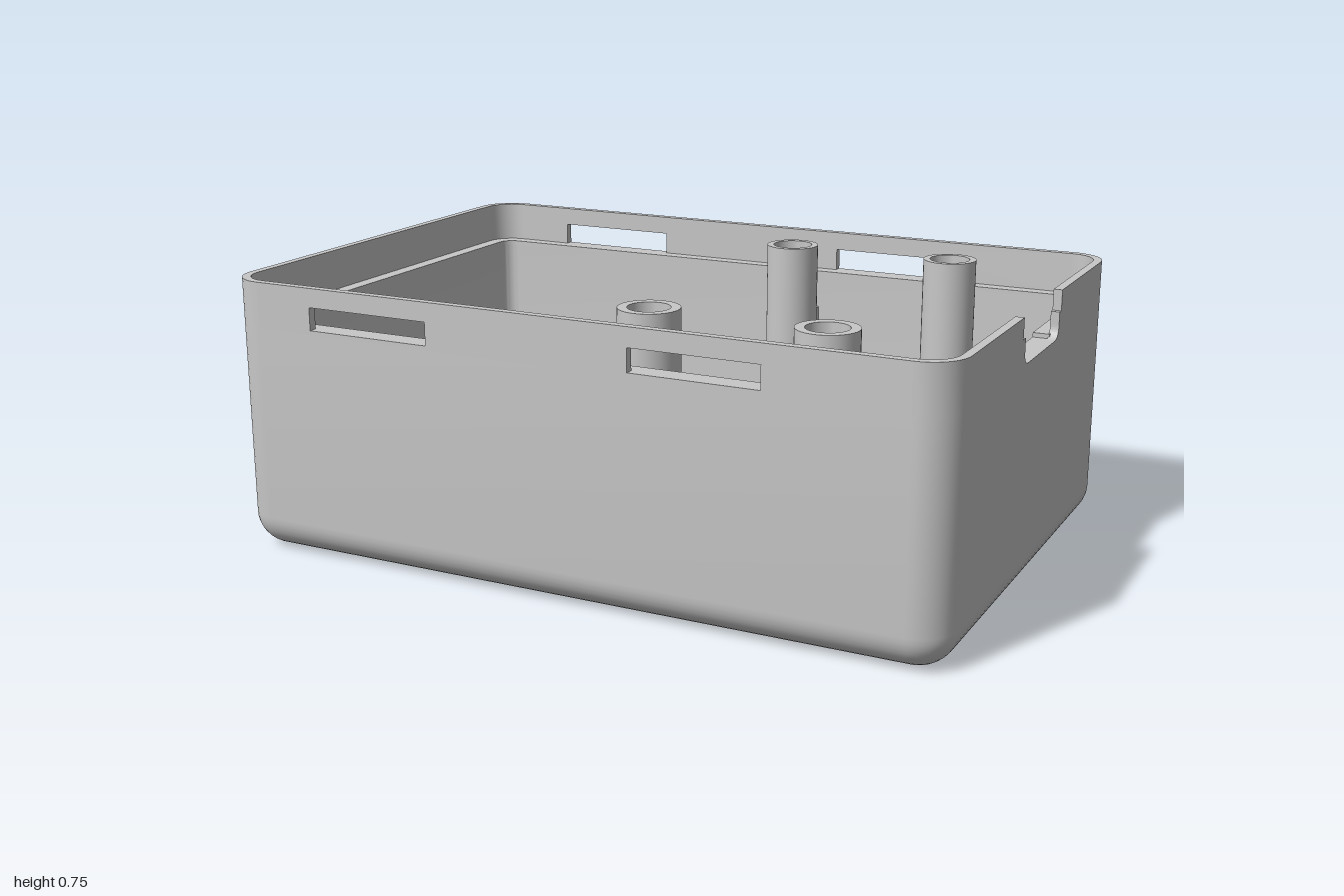
import * as THREE from 'three';
import { toCreasedNormals } from 'three/addons/utils/BufferGeometryUtils.js';

const W = 1, D = 0.672, H = 0.745;       // half width, half depth, height
const CORNER = 0.1, WALL = 0.063, LIP = 0.023;
const BASE = 0.621, LEDGE = 0.633;       // notch sill and ledge heights
const FLOOR = 0.06;

// Rounded rectangle in the xz plane, as a loop of points that starts and ends on the +x side
function ring(inset, y, r) {
  const pts = [], n = 10, w = W - inset, d = D - inset;
  [[1, 1], [-1, 1], [-1, -1], [1, -1]].forEach(([sx, sz], q) => {
    for (let i = 0; i <= n; i++) {
      const a = (q + i / n) * Math.PI / 2;
      pts.push([sx * (w - r) + r * Math.cos(a), y, sz * (d - r) + r * Math.sin(a)]);
    }
  });
  return pts;
}

function loft(rings) {
  const n = rings[0].length, index = [];
  for (let i = 0; i < rings.length - 1; i++) {
    for (let j = 0; j < n; j++) {
      const a = i * n + j, b = i * n + (j + 1) % n;
      index.push(a, a + n, b, b, a + n, b + n);
    }
  }
  const g = new THREE.BufferGeometry();
  g.setAttribute('position', new THREE.Float32BufferAttribute(rings.flat(2), 3));
  g.setIndex(index);
  return toCreasedNormals(g, 0.6);
}

// Body shell: bottom, rounded edge, outer wall, wall top, inner wall, floor
function bodyGeometry() {
  const rings = [], edge = 0.095, fillet = 0.035, n = 10;
  const centre = y => ring(0, y, 0.01).map(() => [0, y, 0]);
  rings.push(centre(0));
  for (let i = 0; i <= n; i++) {
    const t = i / n * Math.PI / 2, inset = edge * (1 - Math.sin(t));
    rings.push(ring(inset, edge * (1 - Math.cos(t)), CORNER - inset));
  }
  rings.push(ring(0, BASE, CORNER), ring(WALL, BASE, 0.04));
  for (let i = 0; i <= n; i++) {
    const t = i / n * Math.PI / 2, inset = fillet * (1 - Math.cos(t));
    rings.push(ring(WALL + inset, FLOOR + fillet * (1 - Math.sin(t)), 0.04 - inset));
  }
  rings.push(centre(FLOOR));
  return loft(rings);
}

function rect(path, x0, x1, y0, y1) {
  return path.moveTo(x0, y0).lineTo(x1, y0).lineTo(x1, y1).lineTo(x0, y1).closePath();
}

const extrude = (shape, depth, curveSegments = 10) =>
  new THREE.ExtrudeGeometry(shape, { depth, bevelEnabled: false, curveSegments });

// Inner ledge, a ring left open at the notch
function ledgeGeometry() {
  const inset = LIP - 0.004, z0 = -0.145, z1 = 0.13;
  const loop = [
    [W - inset, 0, z1], ...ring(inset, 0, CORNER - inset), [W - inset, 0, z0],
    [W - WALL, 0, z0], ...ring(WALL, 0, 0.04).reverse(), [W - WALL, 0, z1],
  ];
  const s = new THREE.Shape(loop.map(([x, , z]) => new THREE.Vector2(x, z)));
  return extrude(s, LEDGE - BASE).rotateX(Math.PI / 2);
}

// Long lip wall with two slots
function slottedWall() {
  const s = rect(new THREE.Shape(), -W + CORNER, W - CORNER, BASE, H);
  for (const [a, b] of [[-0.733, -0.377], [0.193, 0.538]]) {
    s.holes.push(rect(new THREE.Path(), a, b, LEDGE, 0.694));
  }
  return extrude(s, LIP);
}

// Plain short lip wall (its own x runs along -z)
function plainWall() {
  const e = D - CORNER;
  return extrude(rect(new THREE.Shape(), -e, e, BASE, H), LIP).rotateY(Math.PI / 2);
}

// Short lip wall with the stepped notch
function notchedWall() {
  const e = D - CORNER, r = 0.035, step = 0.69;
  const left = new THREE.Shape().moveTo(-e, BASE).lineTo(-0.145 + r, BASE)
    .quadraticCurveTo(-0.145, BASE, -0.145, BASE + r).lineTo(-0.145, step)
    .lineTo(-0.165, step).lineTo(-0.165, H).lineTo(-e, H).closePath();
  const right = new THREE.Shape().moveTo(e, BASE).lineTo(e, H).lineTo(0.175, H)
    .lineTo(0.175, step).lineTo(0.16, step).lineTo(0.16, BASE + r)
    .quadraticCurveTo(0.16, BASE, 0.16 - r, BASE).closePath();
  return extrude([left, right], LIP).rotateY(Math.PI / 2);
}

// Quarter ring for a lip corner
function lipCorner(q) {
  const a = q * Math.PI / 2, b = a + Math.PI / 2;
  const s = new THREE.Shape().absarc(0, 0, CORNER, a, b, false);
  s.absarc(0, 0, CORNER - LIP, b, a, true);
  return toCreasedNormals(extrude(s, H - BASE, 5).rotateX(-Math.PI / 2), 0.6);
}

// Hollow screw post with a conical foot
function postGeometry(r) {
  const flare = 0.047, top = 0.737, hole = 0.055;
  const pts = [
    [r + flare, FLOOR - 0.005], [r + flare, FLOOR + 0.002], [r, FLOOR + 0.055], [r, top],
    [hole, top], [hole, FLOOR + 0.005], [0, FLOOR + 0.005],
  ].map(([x, y]) => new THREE.Vector2(x, y));
  return toCreasedNormals(new THREE.LatheGeometry(pts, 36), 0.6);
}

export function createModel() {
  const model = new THREE.Group();
  model.name = 'enclosureBase';
  const grey = new THREE.MeshStandardMaterial({ color: 0xc8c8c8 });
  grey.name = 'grey';
  const add = (name, geometry, x = 0, y = 0, z = 0) => {
    const mesh = new THREE.Mesh(geometry, grey);
    mesh.name = name;
    mesh.position.set(x, y, z);
    model.add(mesh);
  };

  add('body', bodyGeometry());
  add('ledge', ledgeGeometry(), 0, LEDGE, 0);

  // Thin lip around the rim
  add('frontLip', slottedWall(), 0, 0, D - LIP);
  add('backLip', slottedWall(), 0, 0, -D);
  add('notchedLip', notchedWall(), W - LIP);
  add('plainLip', plainWall(), -W);
  [[1, -1], [-1, -1], [-1, 1], [1, 1]].forEach(([sx, sz], q) =>
    add('lipCorner', lipCorner(q), sx * (W - CORNER), BASE, sz * (D - CORNER)));

  // Screw posts, each braced to the nearest long wall by a rib
  const ribTop = 0.525, ribBase = FLOOR - 0.02;
  for (const [z, r] of [[0.437, 0.08], [-0.462, 0.073]]) {
    const side = Math.sign(z), start = Math.abs(z) + 0.065, end = D - WALL + 0.01;
    for (const x of [0.13, 0.605]) {
      add('screwPost', postGeometry(r), x, 0, z);
      add('postRib', new THREE.BoxGeometry(0.05, ribTop - ribBase, end - start),
        x, (ribTop + ribBase) / 2, side * (start + end) / 2);
    }
  }
  return model;
}
